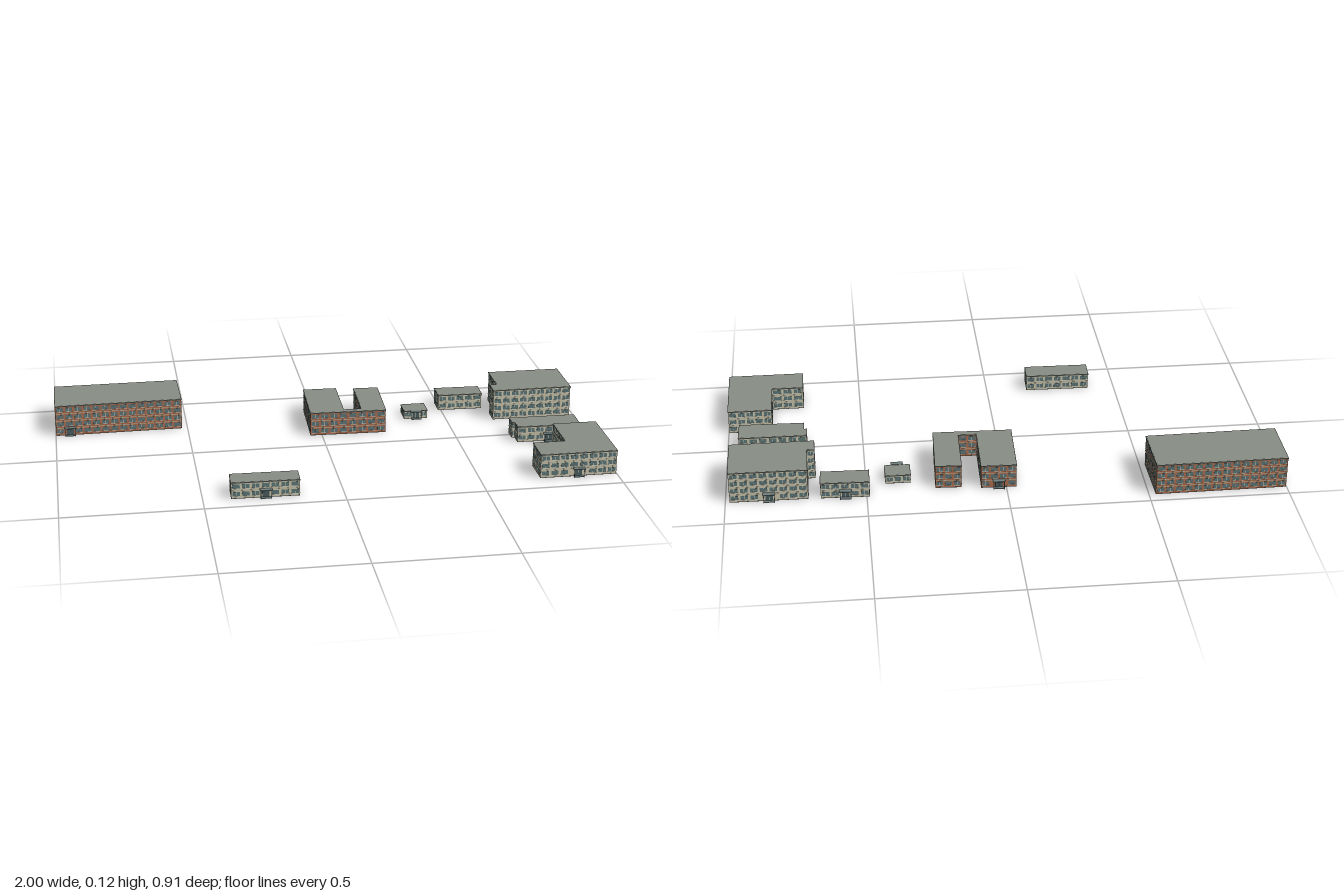
import * as THREE from 'three';
import { mergeGeometries } from 'three/addons/utils/BufferGeometryUtils.js';

const FLOOR = 0.029;   // storey height
const BAY = 0.034;     // window spacing
const mat = (color) => new THREE.MeshStandardMaterial({ color });
const M = {
  beige: mat(0xc6c1a9), brick: mat(0xab6b4c), band: mat(0xb9b6a0), glass: mat(0x5b7374),
  frame: mat(0xd2d0c2), roof: mat(0x868b83), trim: mat(0x5f645e), door: mat(0x46595b), canopy: mat(0x6f7f7e),
};

// Footprints run back-left, back-right, front-right, front-left as [x, z].
// door: [edge index, centre x]
const BUILDINGS = [
  { name: 'longBrickBlock', wall: 'brick', floors: 4, door: [2, -0.945],
    pts: [[-0.998, -0.455], [-0.525, -0.458], [-0.521, -0.25], [-0.998, -0.243]] },
  { name: 'detachedPavilion', wall: 'beige', floors: 2, door: [2, -0.278],
    pts: [[-0.398, 0.353], [-0.156, 0.358], [-0.158, 0.435], [-0.4, 0.431]] },
  { name: 'courtyardBrickBlock', wall: 'brick', floors: 3, door: [0, 0.027],
    pts: [[-0.036, -0.355], [0.09, -0.352], [0.086, -0.125], [0.155, -0.123],
      [0.16, -0.34], [0.253, -0.336], [0.244, -0.097], [-0.043, -0.104]] },
  { name: 'gatehouse', wall: 'beige', floors: 1, door: [2, 0.385],
    pts: [[0.34, -0.289], [0.43, -0.289], [0.43, -0.216], [0.34, -0.216]] },
  { name: 'smallAnnex', wall: 'beige', floors: 2, door: [0, 0.575],
    pts: [[0.49, -0.37], [0.663, -0.365], [0.661, -0.285], [0.49, -0.289]] },
  { name: 'mainBlock', wall: 'beige', floors: 4, door: [0, 0.845],
    pts: [[0.707, -0.363], [0.984, -0.361], [0.984, -0.161], [0.68, -0.161], [0.68, -0.224], [0.707, -0.224]] },
  { name: 'middleAnnex', wall: 'beige', floors: 2, door: [2, 0.837],
    pts: [[0.707, -0.018], [0.958, -0.016], [0.956, 0.082], [0.718, 0.076], [0.718, 0.03], [0.707, 0.03]] },
  { name: 'cornerBlock', wall: 'beige', floors: 3, door: [2, 0.857],
    pts: [[0.836, 0.135], [0.998, 0.135], [0.998, 0.416], [0.717, 0.416], [0.717, 0.302], [0.836, 0.302]] },
];

// Unit direction and outward normal of edge i
function edge(pts, i) {
  const a = pts[i], b = pts[(i + 1) % pts.length];
  const len = Math.hypot(b[0] - a[0], b[1] - a[1]);
  const d = [(b[0] - a[0]) / len, (b[1] - a[1]) / len];
  return { a, b, len, d, n: [d[1], -d[0]] };
}

// Mitred outline offset (positive grows outward)
function offset(pts, r) {
  return pts.map((p, i) => {
    const n1 = edge(pts, (i + pts.length - 1) % pts.length).n, n2 = edge(pts, i).n;
    const k = r / (1 + n1[0] * n2[0] + n1[1] * n2[1]);
    return [p[0] + (n1[0] + n2[0]) * k, p[1] + (n1[1] + n2[1]) * k];
  });
}

function slab(name, pts, y0, y1, material) {
  const shape = new THREE.Shape(pts.map(([x, z]) => new THREE.Vector2(x, -z)));
  const g = new THREE.ExtrudeGeometry(shape, { depth: y1 - y0, bevelEnabled: false });
  g.rotateX(-Math.PI / 2).translate(0, y0, 0);
  const mesh = new THREE.Mesh(g, material);
  mesh.name = name;
  return mesh;
}

function makeBuilding({ name, wall, floors, door, pts }) {
  const group = new THREE.Group();
  group.name = name;
  const h = floors * FLOOR + 0.003;

  // Body, ground slab and flat roof with dark coping
  group.add(slab('walls', pts, 0.002, h - 0.003, M[wall]));
  group.add(slab('groundSlab', offset(pts, 0.0006), 0, 0.002, M.roof));
  group.add(slab('roofCoping', offset(pts, 0.0018), h - 0.003, h, M.trim));
  group.add(slab('roofDeck', offset(pts, -0.0005), h - 0.001, h + 0.0006, M.roof));

  // Facade parts are collected per material, then merged
  const parts = { glass: [], frame: [], band: [], door: [], canopy: [] };
  pts.forEach((_, i) => {
    const { a, b, len, n } = edge(pts, i);
    const place = new THREE.Matrix4().makeRotationY(Math.atan2(n[0], n[1]));
    place.setPosition((a[0] + b[0]) / 2, 0, (a[1] + b[1]) / 2);
    const box = (key, w, ht, dp, x, y, z = 0) =>
      parts[key].push(new THREE.BoxGeometry(w, ht, dp).translate(x, y, z).applyMatrix4(place));

    const hasDoor = door[0] === i;
    // Position of the entrance along the wall, in its local x
    const doorX = hasDoor ? (door[1] - (a[0] + b[0]) / 2) * Math.cos(Math.atan2(n[0], n[1])) : 0;
    const bays = Math.max(1, Math.round(len / BAY));
    const step = len / bays, w = step * 0.76;

    for (let f = 0; f < floors; f++) {
      const y = f * FLOOR + 0.0175;
      // Storey band below each row of windows
      if (f > 0) box('band', len, 0.0025, 0.0012, 0, f * FLOOR + 0.001);
      for (let k = 0; k < bays; k++) {
        const x = (k + 0.5) * step - len / 2;
        if (hasDoor && f === 0 && Math.abs(x - doorX) < w / 2 + 0.014) continue;
        box('glass', w, 0.0155, 0.0014, x, y);
        box('frame', 0.0012, 0.0155, 0.002, x, y);
        box('frame', w + 0.002, 0.0012, 0.003, x, y - 0.0083);
      }
    }

    // Entrance: double door, frame, canopy on two posts and a step
    if (hasDoor) {
      box('door', 0.026, 0.025, 0.003, doorX, 0.0145);
      box('frame', 0.001, 0.025, 0.004, doorX, 0.0145);
      box('canopy', 0.044, 0.003, 0.019, doorX, 0.0325, 0.0095);
      box('canopy', 0.036, 0.002, 0.014, doorX, 0.001, 0.007);
      for (const s of [-1, 1]) box('canopy', 0.002, 0.031, 0.002, doorX + s * 0.019, 0.0155, 0.016);
    }
  });

  const names = { glass: 'windows', frame: 'windowFrames', band: 'storeyBands', door: 'entranceDoor', canopy: 'entranceCanopy' };
  for (const key in parts) {
    if (!parts[key].length) continue;
    const mesh = new THREE.Mesh(mergeGeometries(parts[key]), M[key]);
    mesh.name = names[key];
    group.add(mesh);
  }
  return group;
}

export function createModel() {
  const model = new THREE.Group();
  model.name = 'campus';
  BUILDINGS.forEach((b) => model.add(makeBuilding(b)));
  return model;
}
